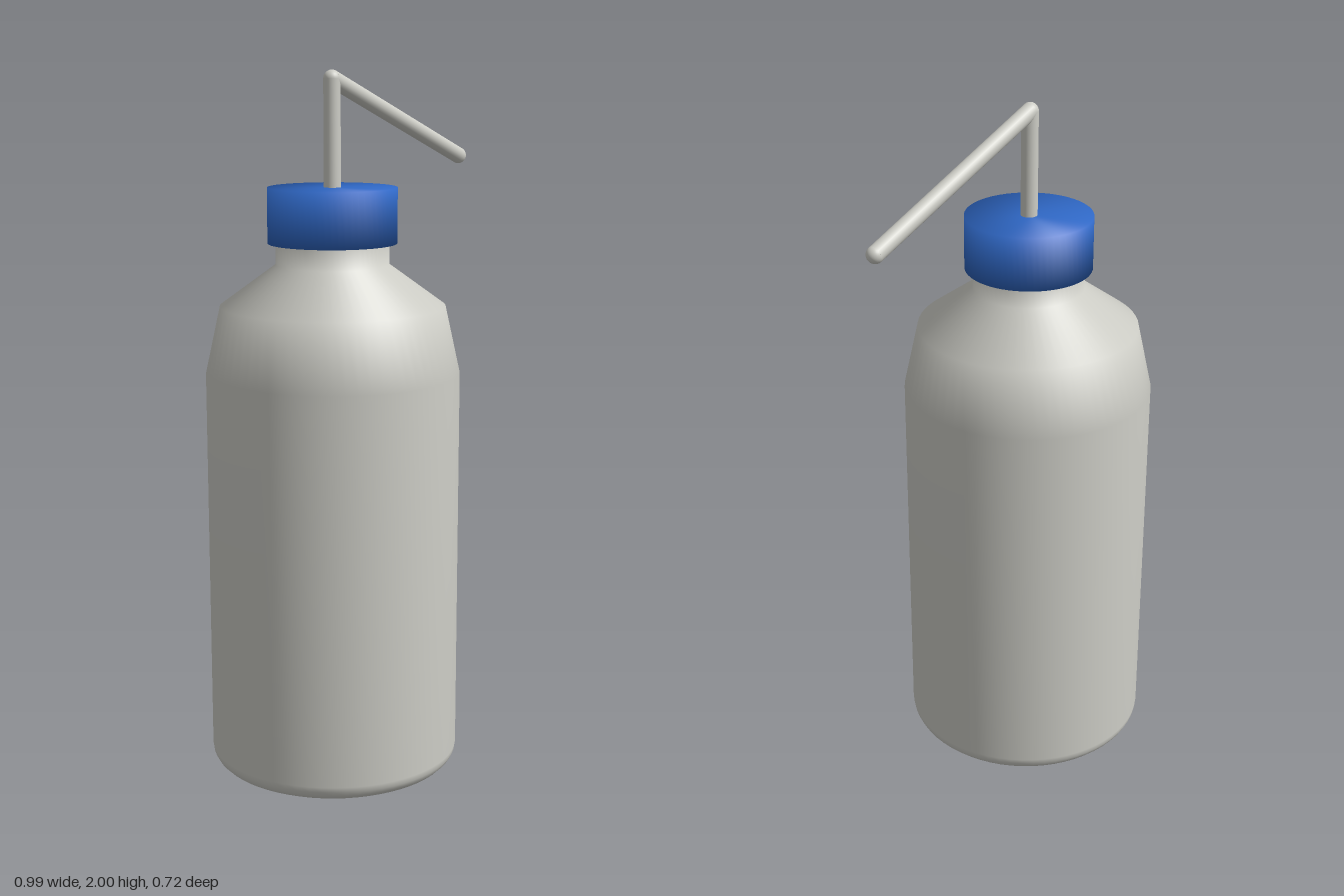
import * as THREE from 'three';

export function createModel() {
  const model = new THREE.Group();
  const plastic = new THREE.MeshStandardMaterial({ color: 0xcdcdc6 });
  plastic.name = 'translucentGrey';
  const blue = new THREE.MeshStandardMaterial({ color: 0x2f67c4 });
  blue.name = 'capBlue';
  const AXIS = -0.133;

  const add = (name, geometry, material, x = 0, y = 0) => {
    const mesh = new THREE.Mesh(geometry, material);
    mesh.name = name;
    mesh.position.set(x, y, 0);
    model.add(mesh);
    return mesh;
  };
  const lathe = (points) =>
    new THREE.LatheGeometry(points.map(([r, y]) => new THREE.Vector2(r, y)), 64);

  // Bottle: rounded base, straight wall, two-step shoulder, neck
  const profile = [[0, 0], [0.3, 0]];
  for (let i = 0; i <= 5; i++) {
    const a = (i / 5) * Math.PI / 2;
    profile.push([0.31 + 0.05 * Math.sin(a), 0.05 - 0.05 * Math.cos(a)]);
  }
  profile.push([0.36, 1.16], [0.318, 1.35], [0.16, 1.465], [0.16, 1.56]);
  add('bottle', lathe(profile), plastic, AXIS);

  // Screw cap
  add('cap', lathe([[0, 1.525], [0.182, 1.525], [0.182, 1.68], [0, 1.68]]), blue, AXIS);

  // Bent dispensing tube with rounded elbow and tip
  const R = 0.024;
  const base = new THREE.Vector3(AXIS, 1.66, 0);
  const elbow = new THREE.Vector3(AXIS, 1.976, 0);
  const tip = new THREE.Vector3(0.468, 1.74, 0);
  const rod = (name, a, b) => {
    const dir = b.clone().sub(a);
    const mesh = add(name, new THREE.CylinderGeometry(R, R, dir.length(), 24), plastic);
    mesh.position.copy(a).add(b).multiplyScalar(0.5);
    mesh.quaternion.setFromUnitVectors(new THREE.Vector3(0, 1, 0), dir.normalize());
  };
  rod('riserTube', base, elbow);
  rod('spoutTube', elbow, tip);
  add('elbow', new THREE.SphereGeometry(R, 24, 16), plastic, elbow.x, elbow.y);
  add('spoutTip', new THREE.SphereGeometry(R, 24, 16), plastic, tip.x, tip.y);

  return model;
}
